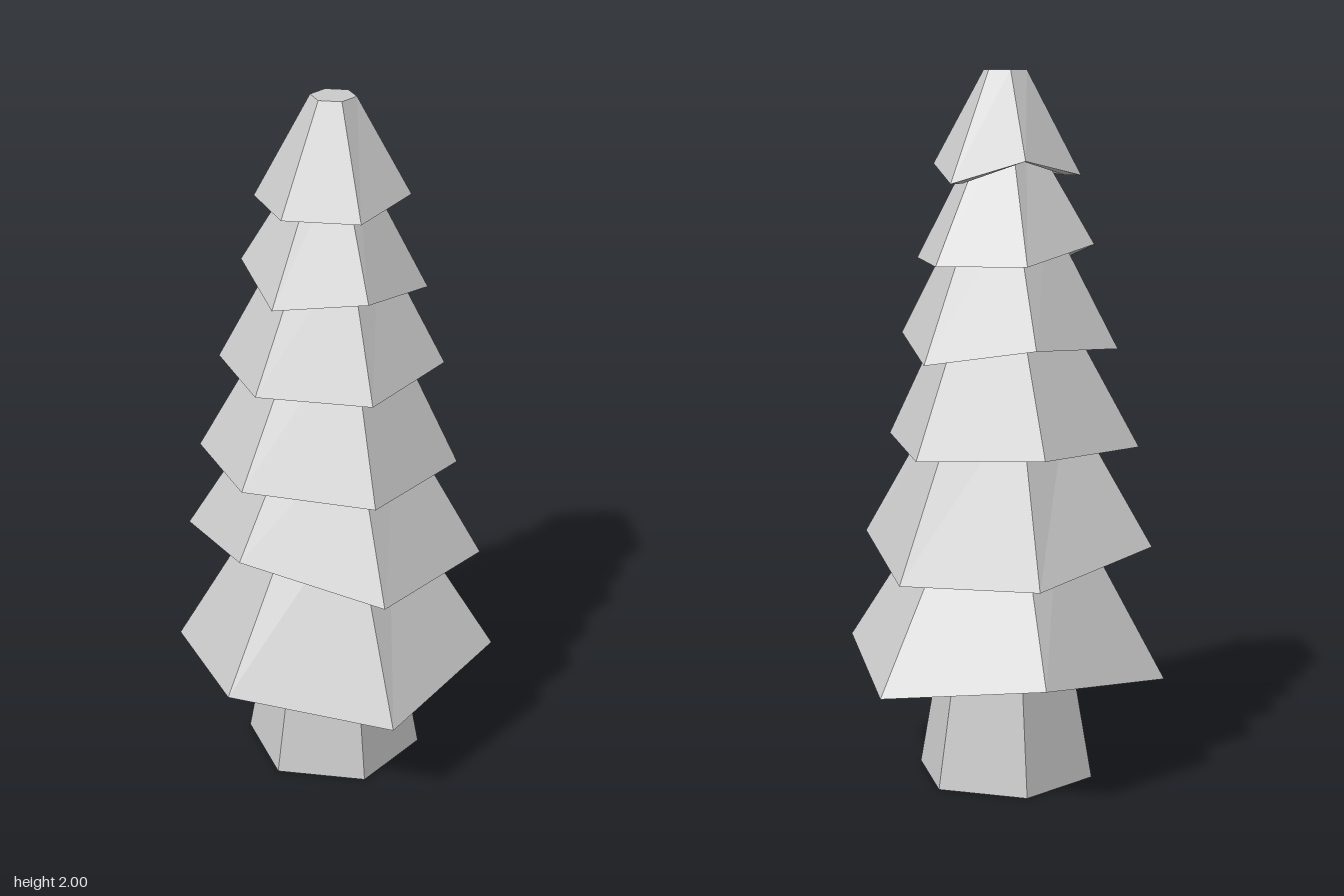
import * as THREE from 'three';

const material = new THREE.MeshStandardMaterial({ color: 0xcccccc, flatShading: true });

// Skins a stack of six-sided rings and closes both ends with a flat fan
function skinRings(rings) {
  const pos = [];
  const tri = (...pts) => pts.forEach((p) => pos.push(p.x, p.y, p.z));
  const middle = (ring) =>
    ring.reduce((sum, p) => sum.add(p), new THREE.Vector3()).divideScalar(ring.length);
  const first = rings[0], last = rings[rings.length - 1];
  const firstMid = middle(first), lastMid = middle(last);
  for (let i = 0; i < 6; i++) {
    const j = (i + 1) % 6;
    for (let k = 0; k < rings.length - 1; k++) {
      const a = rings[k], b = rings[k + 1];
      tri(a[i], a[j], b[j]);
      tri(a[i], b[j], b[i]);
    }
    tri(firstMid, first[j], first[i]);
    tri(lastMid, last[i], last[j]);
  }
  const geometry = new THREE.BufferGeometry();
  geometry.setAttribute('position', new THREE.Float32BufferAttribute(pos, 3));
  geometry.computeVertexNormals();
  return geometry;
}

// Level hexagon with a corner at the front
function hexagon(r, y) {
  return Array.from({ length: 6 }, (_, i) => {
    const a = (i * Math.PI) / 3;
    return new THREE.Vector3(r * Math.sin(a), y, r * Math.cos(a));
  });
}

// Uneven hexagonal hem: corner heights run from the front round by the left
function hem({ front, back, width, heights, twist = 0 }, scale) {
  const shift = (front - back) / 2, half = width / Math.sqrt(3);
  const corners = [
    [0, front], [width, shift + half], [width, shift - half],
    [0, -back], [-width, shift - half], [-width, shift + half],
  ];
  return corners.map(([x, z], i) =>
    new THREE.Vector3(x * scale, heights[i], z * scale)
      .applyAxisAngle(new THREE.Vector3(0, 1, 0), twist));
}

const tiers = [
  { front: 0.466, back: 0.47, width: 0.405, top: 0.85, topR: 0.16,
    heights: [0.37, 0.31, 0.37, 0.31, 0.37, 0.31] },
  { front: 0.395, back: 0.39, width: 0.37, top: 1.1, topR: 0.18, twist: -0.025,
    heights: [0.77, 0.685, 0.68, 0.61, 0.63, 0.69] },
  { front: 0.39, back: 0.335, width: 0.318, top: 1.4, topR: 0.14,
    heights: [0.99, 0.97, 0.97, 0.95, 0.97, 0.965] },
  { front: 0.328, back: 0.304, width: 0.273, top: 1.62, topR: 0.12,
    heights: [1.25, 1.245, 1.265, 1.21, 1.26, 1.24] },
  { front: 0.256, back: 0.26, width: 0.222, top: 1.85, topR: 0.06,
    heights: [1.475, 1.508, 1.48, 1.475, 1.48, 1.528] },
  { front: 0.215, back: 0.204, width: 0.184, top: 2, topR: 0.062,
    heights: [1.715, 1.717, 1.743, 1.695, 1.758, 1.715] },
];

export function createModel() {
  const tree = new THREE.Group();
  tree.name = 'tree';

  // Tapered trunk running up into the lowest tier
  const trunk = new THREE.Mesh(skinRings([hexagon(0.258, 0), hexagon(0.13, 0.72)]), material);
  trunk.name = 'trunk';
  tree.add(trunk);

  // Hollow branch tiers: inner roof, inner rim, outer rim, top
  tiers.forEach((tier, i) => {
    const mesh = new THREE.Mesh(skinRings([
      hexagon(tier.topR * 0.75, tier.top - 0.1),
      hem(tier, 0.79),
      hem(tier, 1),
      hexagon(tier.topR, tier.top),
    ]), material);
    mesh.name = `branchTier${i + 1}`;
    tree.add(mesh);
  });
  return tree;
}
